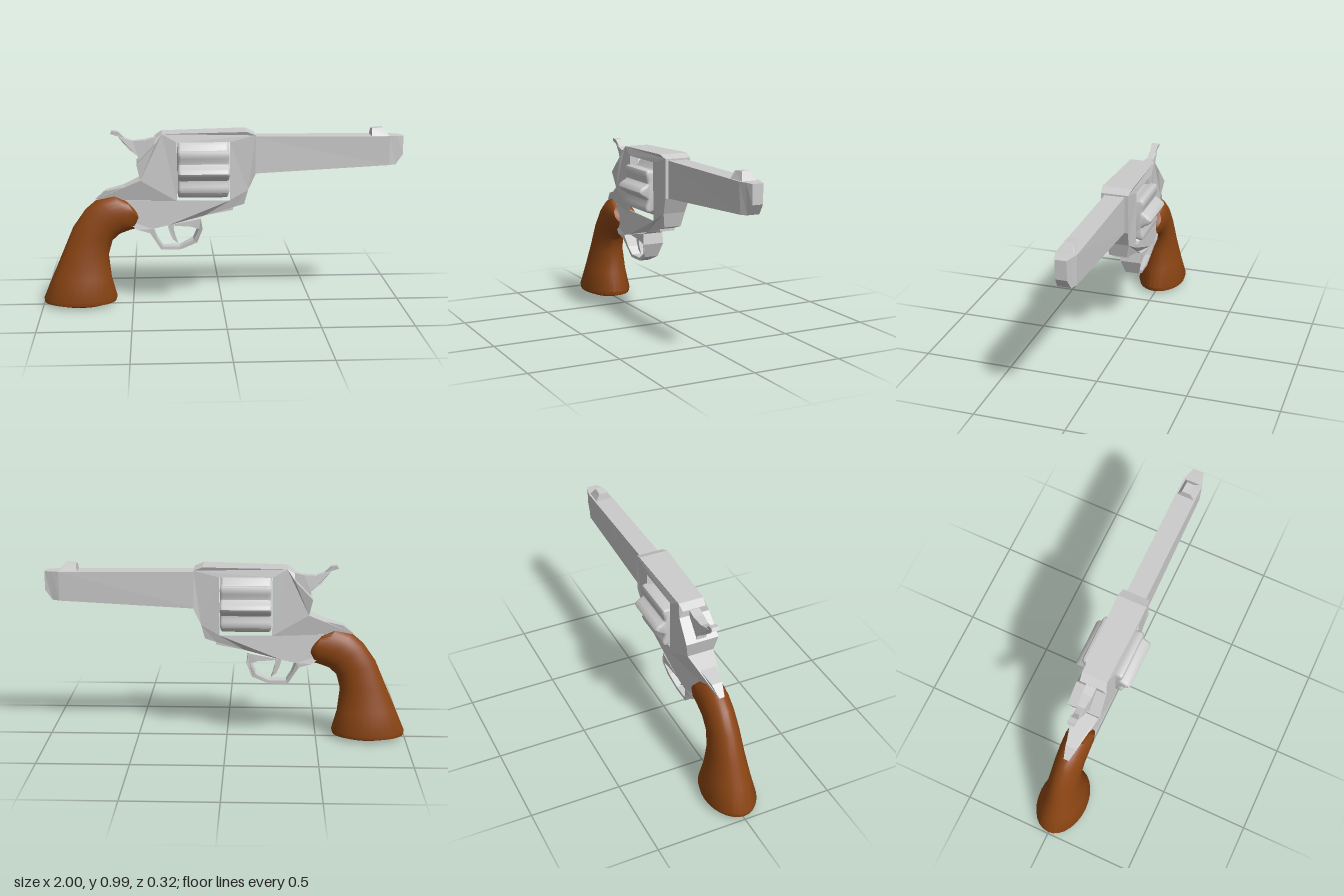
import * as THREE from 'three';
import { toCreasedNormals } from 'three/addons/utils/BufferGeometryUtils.js';

const steel = new THREE.MeshStandardMaterial({ color: 0xcccccc, flatShading: true });
const smoothSteel = new THREE.MeshStandardMaterial({ color: 0xcccccc });
const wood = new THREE.MeshStandardMaterial({ color: 0x8b4513 });

// Symmetric slab from a side outline of [x, y, halfWidth] points, with optional holes
function plate(points, holes = []) {
  const toPath = (pts) => pts.map(([x, y]) => new THREE.Vector2(x, y));
  const shape = new THREE.Shape(toPath(points));
  shape.holes = holes.map((h) => new THREE.Path(toPath(h)));
  const geo = new THREE.ExtrudeGeometry(shape, { depth: 1, bevelEnabled: false });
  const all = [points, ...holes].flat();
  const pos = geo.attributes.position;
  for (let i = 0; i < pos.count; i++) {
    const p = all.find(([x, y]) => Math.hypot(x - pos.getX(i), y - pos.getY(i)) < 1e-4);
    pos.setZ(i, pos.getZ(i) > 0.5 ? p[2] : -p[2]);
  }
  geo.computeVertexNormals();
  return geo;
}

// Closed skin through rings of [x, y, z] points, capped at both ends
function loft(rings) {
  const n = rings[0].length;
  const index = [];
  for (let i = 0; i < rings.length - 1; i++) {
    for (let j = 0; j < n; j++) {
      const a = i * n + j, b = i * n + (j + 1) % n;
      index.push(a, b, b + n, a, b + n, a + n);
    }
  }
  const last = (rings.length - 1) * n;
  for (let j = 1; j < n - 1; j++) {
    index.push(0, j + 1, j, last, last + j, last + j + 1);
  }
  const geo = new THREE.BufferGeometry();
  geo.setAttribute('position', new THREE.Float32BufferAttribute(rings.flat(2), 3));
  geo.setIndex(index);
  geo.computeVertexNormals();
  return geo;
}

export function createModel() {
  const model = new THREE.Group();
  const add = (name, geo, mat) => {
    const mesh = new THREE.Mesh(geo, mat);
    mesh.name = name;
    model.add(mesh);
  };

  // Frame with trigger guard and back strap; holes for the cylinder and the finger
  const outline = [
    [-0.37, 0.95, 0.065], [-0.33, 0.975, 0.07], [0.13, 0.985, 0.083], [0.18, 0.965, 0.075],
    [0.18, 0.75, 0.075], [0.14, 0.66, 0.065], [0.12, 0.58, 0.05], [0.06, 0.56, 0.045],
    [0.06, 0.545, 0.045], [-0.1, 0.515, 0.045], [-0.12, 0.5, 0.06], [-0.11, 0.44, 0.06],
    [-0.14, 0.36, 0.04], [-0.23, 0.32, 0.03], [-0.34, 0.32, 0.03], [-0.4, 0.42, 0.055],
    [-0.47, 0.44, 0.055], [-0.55, 0.5, 0.04], [-0.62, 0.6, 0.03], [-0.7, 0.605, 0.015],
    [-0.64, 0.655, 0.03], [-0.54, 0.68, 0.045], [-0.45, 0.72, 0.075], [-0.47, 0.81, 0.092],
    [-0.37, 0.915, 0.085],
  ];
  const cylinderWindow = [
    [-0.25, 0.605, 0.08], [-0.25, 0.93, 0.08], [0.04, 0.93, 0.08], [0.04, 0.605, 0.075],
  ];
  const fingerHole = [
    [-0.385, 0.445, 0.055], [-0.36, 0.38, 0.042], [-0.33, 0.337, 0.03], [-0.235, 0.337, 0.03],
    [-0.16, 0.375, 0.04], [-0.13, 0.44, 0.058], [-0.17, 0.455, 0.06], [-0.3, 0.465, 0.06],
  ];
  add('frame', plate(outline, [cylinderWindow, fingerHole]), steel);

  // Tapered barrel with a bevelled muzzle: [x, bottom, top, bottom half width, top half width]
  const barrel = [
    [0.16, 0.749, 0.955, 0.055, 0.055], [0.92, 0.788, 0.95, 0.05, 0.055],
    [0.96, 0.79, 0.95, 0.035, 0.043], [1, 0.845, 0.948, 0.03, 0.03],
  ].map(([x, lo, hi, b, t]) => [[x, hi, t], [x, lo, b], [x, lo, -b], [x, hi, -t]]);
  add('barrel', loft(barrel), steel);

  // Front sight
  add('frontSight', plate([
    [0.82, 0.945, 0.05], [0.825, 0.99, 0.025], [0.885, 0.995, 0.022],
    [0.91, 0.965, 0.03], [0.925, 0.945, 0.045],
  ]), steel);

  // Fluted cylinder with rounded rims
  const flutes = Array.from({ length: 64 }, (_, i) => {
    const a = (i / 64) * Math.PI * 2;
    const r = 0.139 + 0.021 * Math.cos(8 * a);
    return new THREE.Vector2(r * Math.cos(a), r * Math.sin(a));
  });
  const drum = new THREE.ExtrudeGeometry(new THREE.Shape(flutes), {
    depth: 0.245, bevelThickness: 0.018, bevelSize: 0.014, bevelOffset: -0.014, bevelSegments: 3,
  });
  drum.rotateY(Math.PI / 2).translate(-0.227, 0.767, 0);
  add('cylinder', toCreasedNormals(drum, 0.6), smoothSteel);

  // Hammer with its curved spur
  add('hammer', plate([
    [-0.61, 0.97, 0.02], [-0.6, 0.987, 0.022], [-0.57, 0.982, 0.02], [-0.535, 0.947, 0.014],
    [-0.49, 0.93, 0.02], [-0.42, 0.935, 0.028], [-0.36, 0.95, 0.028], [-0.36, 0.8, 0.028],
    [-0.46, 0.81, 0.028], [-0.46, 0.845, 0.028], [-0.515, 0.885, 0.022], [-0.545, 0.925, 0.015],
    [-0.57, 0.957, 0.018],
  ]), steel);

  // Trigger
  add('trigger', plate([
    [-0.31, 0.48, 0.018], [-0.295, 0.42, 0.018], [-0.275, 0.375, 0.016], [-0.245, 0.35, 0.012],
    [-0.258, 0.385, 0.016], [-0.268, 0.42, 0.018], [-0.265, 0.48, 0.018],
  ]), steel);

  // Wooden grip: oval sections from butt to frame, [front x, y, back x, y, half width]
  const grip = [
    [-0.66, 0.005, -0.92, 0.005, 0.085], [-0.595, 0.025, -0.995, 0.025, 0.135],
    [-0.588, 0.05, -0.998, 0.045, 0.14], [-0.618, 0.16, -0.945, 0.17, 0.113],
    [-0.632, 0.29, -0.885, 0.31, 0.09], [-0.61, 0.37, -0.825, 0.45, 0.08],
    [-0.565, 0.41, -0.755, 0.55, 0.078], [-0.51, 0.43, -0.69, 0.605, 0.078],
    [-0.47, 0.44, -0.6, 0.637, 0.077], [-0.452, 0.49, -0.53, 0.605, 0.068],
    [-0.455, 0.52, -0.48, 0.555, 0.03],
  ].map(([fx, fy, bx, by, w]) => Array.from({ length: 28 }, (_, i) => {
    const a = (i / 28) * Math.PI * 2;
    const k = (1 + Math.cos(a)) / 2;
    return [fx + (bx - fx) * k, fy + (by - fy) * k, w * Math.sin(a)];
  }));
  add('grip', toCreasedNormals(loft(grip), 0.6), wood);

  return model;
}
